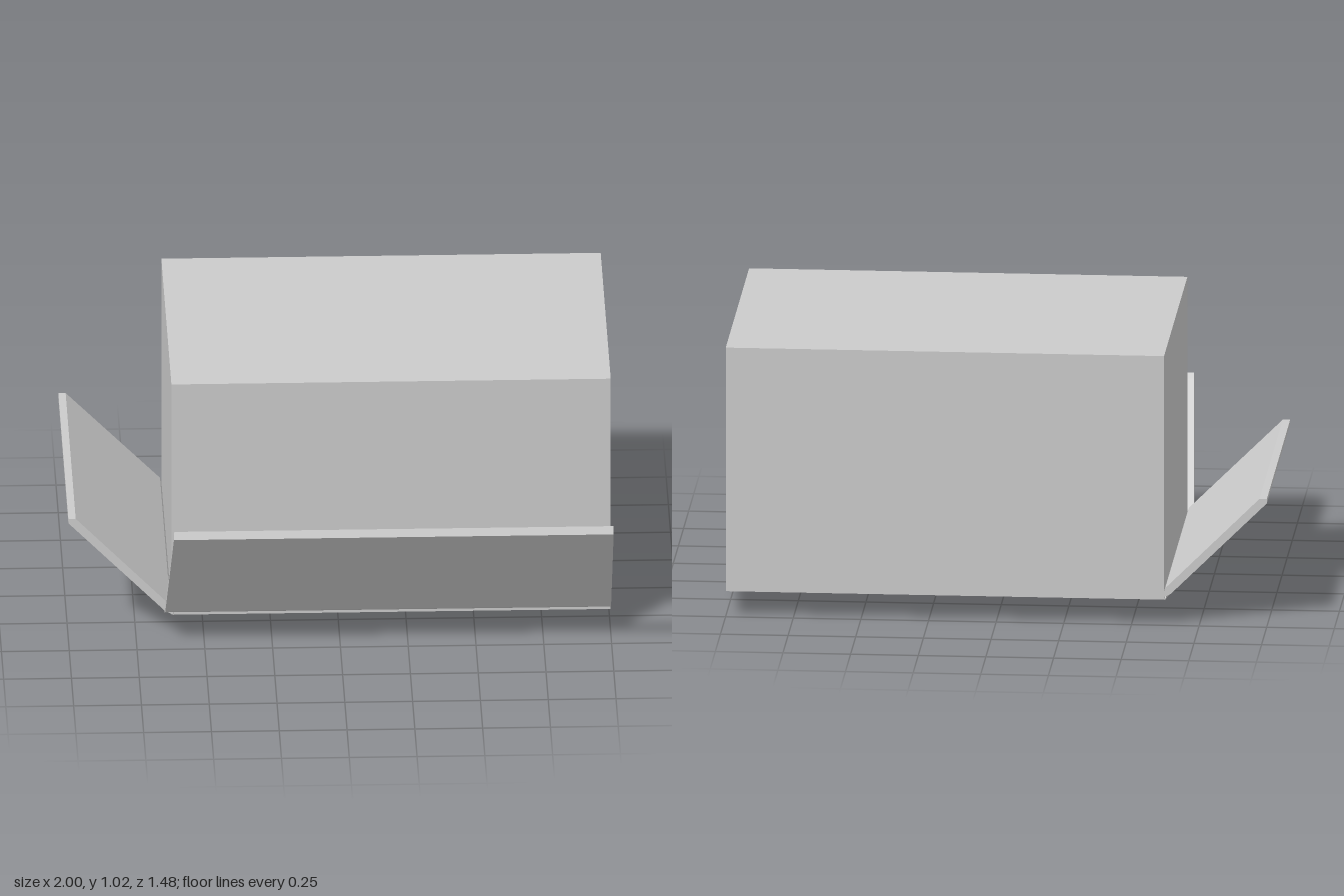
import * as THREE from 'three';

// Box interior hangs open side down: walls, lid panel and four hinged flaps.
const X0 = -0.62, X1 = 1, Z0 = -0.74, Z1 = 0.4, Y0 = 0.095, Y1 = 1.0, T = 0.024;

export function createModel() {
  const group = new THREE.Group();
  const material = new THREE.MeshStandardMaterial({ color: 0xcccccc, flatShading: true });

  const add = (name, geometry) => {
    const mesh = new THREE.Mesh(geometry, material);
    mesh.name = name;
    group.add(mesh);
    return mesh;
  };

  // Panel given by its minimum and maximum corners
  const panel = (name, a, b) => {
    const g = new THREE.BoxGeometry(b[0] - a[0], b[1] - a[1], b[2] - a[2]);
    g.translate((a[0] + b[0]) / 2, (a[1] + b[1]) / 2, (a[2] + b[2]) / 2);
    add(name, g);
  };

  // Bevelled board cross-section, swept along its hinge
  const board = (points, length) => new THREE.ExtrudeGeometry(
    new THREE.Shape(points.map(([u, v]) => new THREE.Vector2(u, v))),
    { depth: length, bevelEnabled: false });

  // Walls and closed top
  panel('topPanel', [X0, Y1, Z0], [X1, Y1 + T, Z1]);
  panel('frontWall', [X0, Y0, Z1 - T], [X1, Y1, Z1]);
  panel('backWall', [X0, Y0, Z0], [X1, Y1, Z0 + T]);
  panel('rightWall', [X1 - T, Y0, Z0 + T], [X1, Y1, Z1 - T]);
  panel('leftWall', [X0, Y0, Z0 + T], [X0 + T, Y1, Z1 - T]);
  panel('backLip', [X0 + T, Y0, Z0 + T], [X1 - T, Y0 + 0.012, -0.58]);

  // Flaps hinged along x
  const front = board([[0.39, 0.1], [0.44, 0.125], [0.735, 0.545], [0.723, 0.573],
    [0.703, 0.555], [0.405, 0.135]], X1 - X0);
  front.rotateY(-Math.PI / 2).translate(X1, 0, 0);
  const p = front.attributes.position;
  for (let i = 0; i < p.count; i++) {
    // flare the free corner toward the hinge
    if (p.getX(i) < 0) p.setX(i, X0 - 0.025 * Math.max(0, (0.573 - p.getY(i)) / 0.47));
  }
  front.computeVertexNormals();
  add('frontFlap', front);

  const back = board([[-0.67, 0.078], [-0.22, 0], [-0.17, 0.004], [-0.21, 0.032],
    [-0.58, 0.094]], X1 - X0);
  add('backFlap', back.rotateY(-Math.PI / 2).translate(X1, 0, 0));

  // Flaps hinged along z
  const left = board([[-0.61, 0.1], [-0.625, 0.14], [-0.973, 0.487], [-1, 0.487],
    [-1, 0.47], [-0.645, 0.118]], Z1 - Z0);
  left.translate(0, 0, Z0);
  const q = left.attributes.position;
  for (let i = 0; i < q.count; i++) {
    if (q.getZ(i) > 0) q.setZ(i, Z1 + 0.015 * Math.max(0, (0.487 - q.getY(i)) / 0.38));
  }
  left.computeVertexNormals();
  add('leftFlap', left);

  // Right flap folded inward
  const right = board([[X1 - 0.005, 0.097], [X1 - 0.03, 0.125], [0.46, 0.243],
    [0.43, 0.235], [0.44, 0.215]], Z1 - Z0 - 2 * T);
  add('rightFlap', right.translate(0, 0, Z0 + T));

  return group;
}
